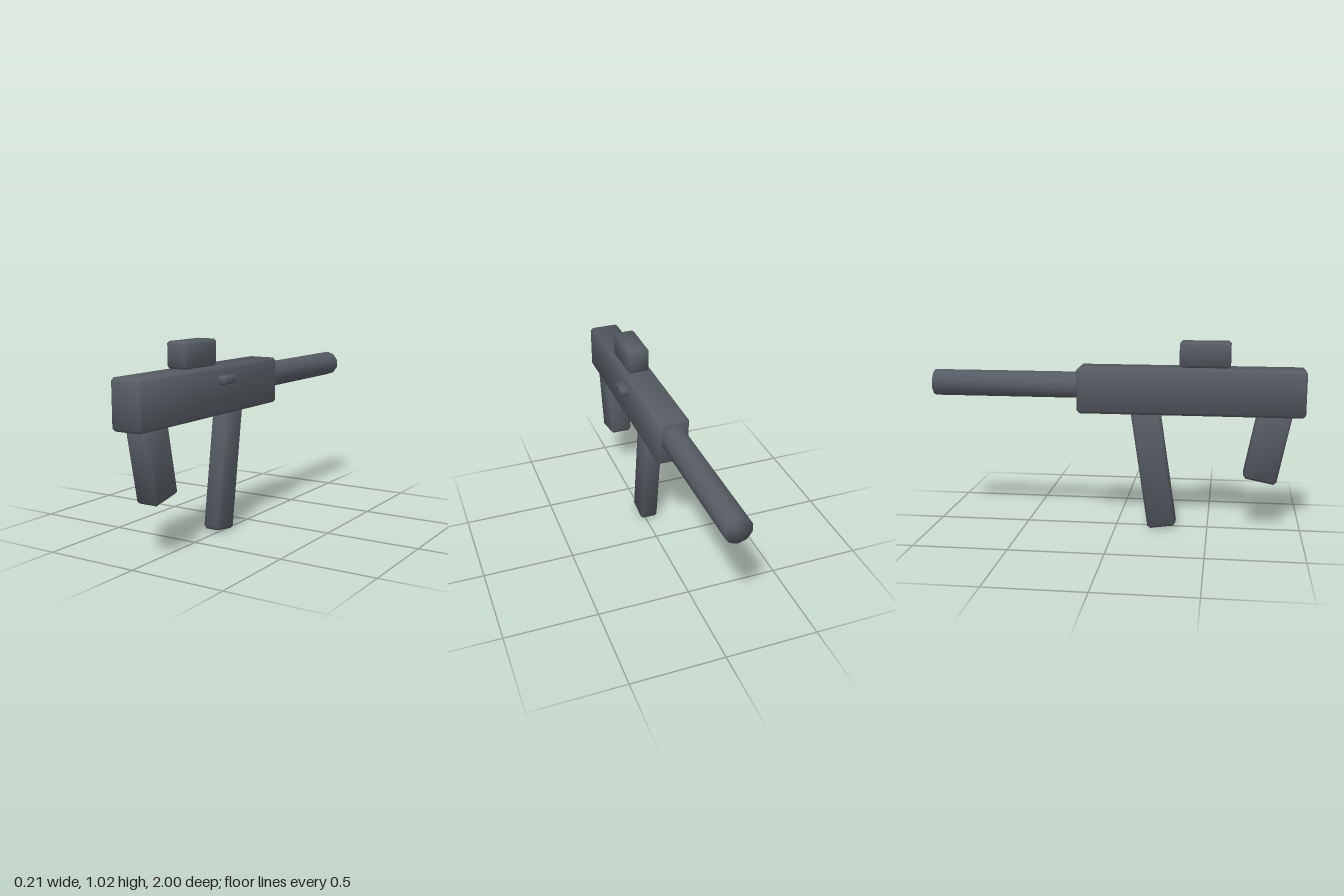
import * as THREE from 'three';
import { mergeVertices } from 'three/addons/utils/BufferGeometryUtils.js';

// Box with chamfered edges and soft, rounded-looking normals
function chamferBox(w, h, d, b) {
  const geo = new THREE.BoxGeometry(1, 1, 1, 3, 3, 3);
  const pos = geo.attributes.position;
  const nor = geo.attributes.normal;
  const half = [w / 2, h / 2, d / 2];
  for (let i = 0; i < pos.count; i++) {
    const p = [pos.getX(i), pos.getY(i), pos.getZ(i)];
    const outer = p.map((v) => Math.abs(v) > 0.4);
    const n = outer.filter(Boolean).length;
    const inset = (b * (n - 1)) / n; // 0 on faces, pulled in on edges and corners
    pos.setXYZ(i, ...p.map((v, k) => Math.sign(v) * (half[k] - (outer[k] ? inset : b))));
    const dir = p.map((v, k) => Math.sign(v) * (outer[k] ? 1 : 0.43));
    nor.setXYZ(i, ...new THREE.Vector3(...dir).normalize().toArray());
  }
  return geo;
}

export function createModel() {
  const group = new THREE.Group();
  const metal = new THREE.MeshStandardMaterial({ color: 0x565c63 });
  metal.name = 'gunmetal grey';
  const cx = -0.021; // centre line of the body

  const add = (name, geo, x, y, z, tilt = 0) => {
    const mesh = new THREE.Mesh(geo, metal);
    mesh.name = name;
    mesh.position.set(x, y, z);
    mesh.rotation.x = tilt;
    group.add(mesh);
  };

  // Leaning post placed by the centre of its lower end
  const addPost = (name, w, d, length, y, z, tilt) => add(
    name, chamferBox(w, length, d, 0.015), cx,
    y + (Math.cos(tilt) * length) / 2, z + (Math.sin(tilt) * length) / 2, tilt);

  // Main body, top block and side knob
  add('body', chamferBox(0.173, 0.248, 1.205, 0.015), cx, 0.764, 0.3975);
  add('topBlock', chamferBox(0.12, 0.134, 0.268, 0.012), cx - 0.002, 0.959, 0.474);
  add('sideKnob', chamferBox(0.055, 0.044, 0.106, 0.009), 0.0775, 0.82, 0.323);

  // Two leaning posts below the body
  addPost('gripPost', 0.127, 0.179, 0.41, 0.288, 0.772, THREE.MathUtils.degToRad(11.2));
  addPost('longPost', 0.098, 0.154, 0.68, 0.011, 0.254, THREE.MathUtils.degToRad(-8.55));

  // Ten-sided tube with a softly shaded end
  let tube = new THREE.CylinderGeometry(0.0715, 0.0715, 0.82, 10);
  tube.deleteAttribute('uv');
  tube.deleteAttribute('normal');
  tube = mergeVertices(tube, 1e-4);
  tube.computeVertexNormals();
  tube.rotateX(Math.PI / 2);
  add('tube', tube, cx - 0.002, 0.783, -0.59);

  return group;
}
